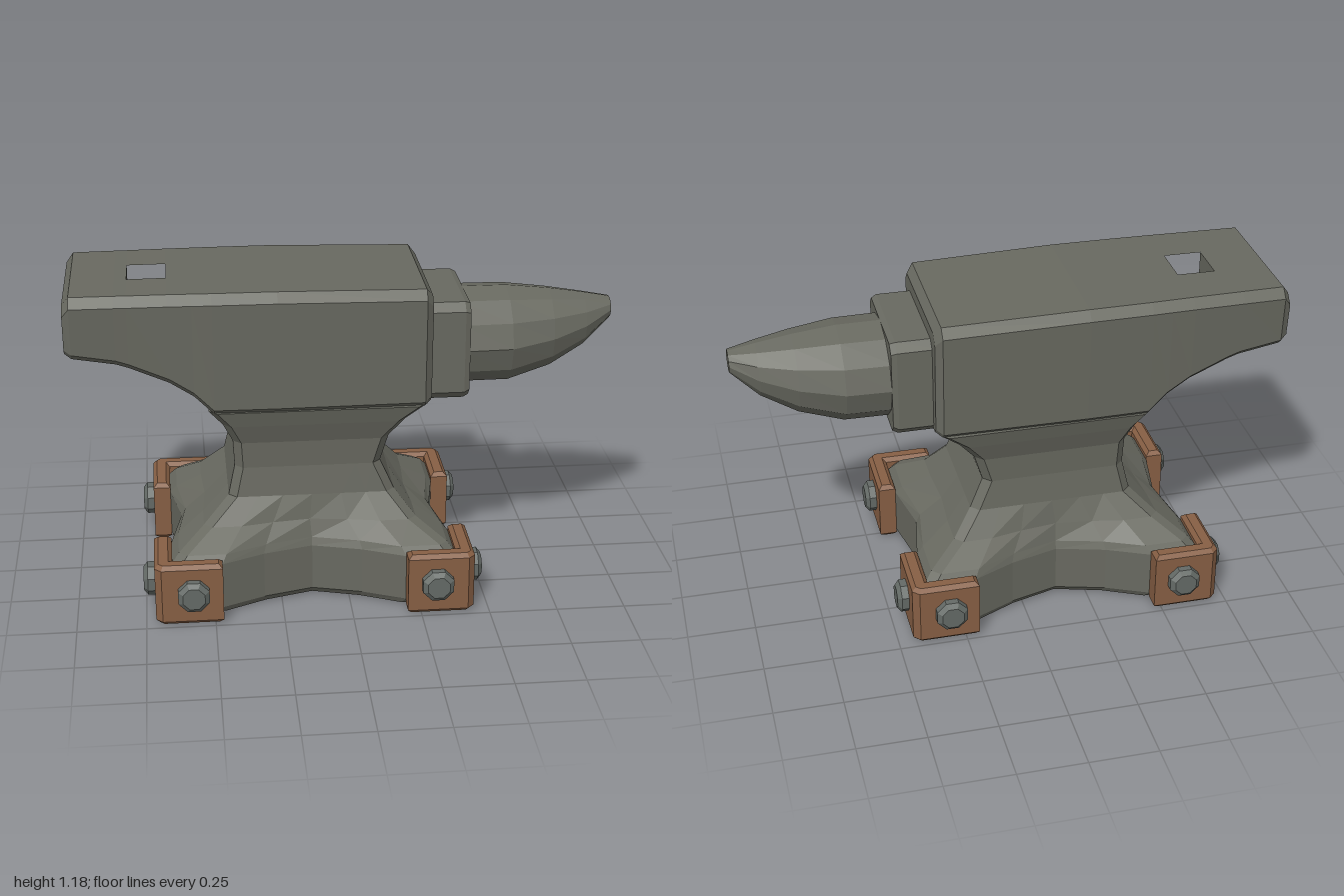
import * as THREE from 'three';

// Faceted skin over rings that run counter-clockwise about the loft axis, with fan caps.
function loft(rings, skip = () => false, extra = []) {
  const pos = [];
  const tri = (...pts) => pts.forEach((p) => pos.push(...p));
  const quad = (a, b, c, d) => tri(a, b, c, a, c, d);
  const n = rings[0].length;
  for (let i = 0; i + 1 < rings.length; i++) {
    for (let k = 0; k < n; k++) {
      if (skip(i, k)) continue;
      const m = (k + 1) % n;
      quad(rings[i][k], rings[i][m], rings[i + 1][m], rings[i + 1][k]);
    }
  }
  const cap = (ring, flip) => {
    const c = [0, 1, 2].map((j) => ring.reduce((s, p) => s + p[j], 0) / n);
    ring.forEach((p, k) => {
      const q = ring[(k + 1) % n];
      if (flip) tri(c, q, p);
      else tri(c, p, q);
    });
  };
  cap(rings[0], true);
  cap(rings[n ? rings.length - 1 : 0], false);
  extra.forEach((q) => quad(...q));
  const g = new THREE.BufferGeometry();
  g.setAttribute('position', new THREE.Float32BufferAttribute(pos, 3));
  g.computeVertexNormals();
  return g;
}

export function createModel() {
  const model = new THREE.Group();
  model.name = 'anvil';
  const make = (name, color) => {
    const m = new THREE.MeshStandardMaterial({ color, flatShading: true });
    m.name = name;
    return m;
  };
  const iron = make('dark iron', 0x686960);
  const copper = make('copper brown', 0x875f44);
  const steel = make('bolt steel', 0x646a66);
  const add = (name, geometry, material, parent = model) => {
    const mesh = new THREE.Mesh(geometry, material);
    mesh.name = name;
    parent.add(mesh);
    return mesh;
  };

  // Top block with overhanging heel: stations of x, bottom, top, half width
  const h = 0.08;
  const block = [
    [-1, 0.97, 1.15, 0.272], [-0.975, 0.955, 1.183, 0.287], [-0.82, 0.93, 1.184, 0.29],
    [-0.775, 0.915, 1.184, 0.291], [-0.635, 0.855, 1.185, 0.294], [-0.55, 0.8, 1.185, 0.296],
    [-0.48, 0.73, 1.185, 0.298], [-0.25, 0.73, 1.185, 0.3], [0.28, 0.73, 1.175, 0.293],
    [0.305, 0.745, 1.145, 0.27],
  ].map(([x, bot, top, w]) => {
    const lw = w - 0.012;
    return [
      [top, -w + 0.03], [top, -h], [top, h], [top, w - 0.03], [top - 0.035, w], [bot + 0.02, lw],
      [bot, lw - 0.02], [bot, h], [bot, -h], [bot, -lw + 0.02], [bot + 0.02, -lw], [top - 0.035, -w],
    ].map(([y, z]) => [x, y, z]);
  });
  // Square hole through the heel
  const [a, b] = [block[3], block[4]];
  const holeWalls = [
    [a[1], a[8], b[8], b[1]].reverse(),
    [a[2], b[2], b[7], a[7]].reverse(),
    [a[1], a[2], a[7], a[8]],
    [b[1], b[8], b[7], b[2]],
  ];
  add('topBlock', loft(block, (i, k) => i === 3 && (k === 1 || k === 7), holeWalls), iron);

  // Waist flaring into a four-footed base: y, left x, right x, corner z, side middle z, end pinch
  const base = [
    [0.005, -0.63, 0.36, 0.4, 0.28, 0.04], [0.03, -0.65, 0.38, 0.42, 0.3, 0.04],
    [0.205, -0.65, 0.38, 0.42, 0.3, 0.04], [0.235, -0.625, 0.355, 0.4, 0.29, 0.03],
    [0.3, -0.53, 0.25, 0.31, 0.27, 0.01], [0.39, -0.435, 0.175, 0.25, 0.25, 0],
    [0.5, -0.41, 0.125, 0.235, 0.235, 0], [0.6, -0.415, 0.155, 0.24, 0.24, 0],
    [0.675, -0.45, 0.215, 0.265, 0.265, 0], [0.735, -0.5, 0.29, 0.282, 0.282, 0],
  ].map(([y, x0, x1, w, m, q]) => {
    const cx = (x0 + x1) / 2, l = (x1 - x0) / 2, c = 0.03;
    const quarter = [
      [0, m], [0.35 * l, m + (w - m) * 0.42], [0.65 * l, w], [l - c, w],
      [l, w - c], [l, 0.52 * w], [l - q, 0],
    ];
    const half = [...quarter, ...quarter.slice(0, -1).reverse().map(([x, z]) => [x, -z])];
    const ring = [...half, ...half.slice(1, -1).reverse().map(([x, z]) => [-x, z])];
    return ring.map(([x, z]) => [cx + x, y, z]);
  });
  add('waistAndBase', loft(base), iron);

  // Chamfered collar behind the horn
  const collar = [[0.27, 0], [0.43, 0], [0.45, 0.008]].map(([x, inset]) => {
    const w = 0.22 - inset, t = 1.098 - inset, d = 0.73 + inset, c = 0.03;
    return [
      [t, -w + c], [t, w - c], [t - c, w], [d + c, w],
      [d, w - c], [d, -w + c], [d + c, -w], [t - c, -w],
    ].map(([y, z]) => [x, y, z]);
  });
  add('hornCollar', loft(collar), iron);

  // Tapered horn rising to a blunt tip: x, bottom, top, half width
  const horn = [
    [0.43, 0.735, 1.092, 0.212], [0.61, 0.735, 1.092, 0.205], [0.77, 0.783, 1.075, 0.16],
    [0.9, 0.858, 1.055, 0.105], [1, 0.957, 1.036, 0.05],
  ].map(([x, bot, top, w]) => Array.from({ length: 12 }, (_, k) => {
    const t = (k / 12) * Math.PI * 2;
    return [x, (top + bot) / 2 + Math.cos(t) * (top - bot) / 2, Math.sin(t) * w];
  }));
  add('horn', loft(horn), iron);

  // Corner brackets with two bolts each
  const bolt = new THREE.LatheGeometry(
    [[0.061, -0.01], [0.061, 0.026], [0.043, 0.041], [0, 0.041]].map((p) => new THREE.Vector2(...p)), 8);
  bolt.rotateY(Math.PI / 8);
  const e = 0.015; // bevel
  for (const sx of [-1, 1]) {
    for (const sz of [-1, 1]) {
      const corner = new THREE.Group();
      corner.name = (sz > 0 ? 'front' : 'back') + (sx > 0 ? 'Left' : 'Right') + 'Corner';
      corner.position.x = -0.135;
      model.add(corner);
      const outline = [
        [0.335 + e, 0.485 - e], [0.565 - e, 0.485 - e], [0.58 - e, 0.47 - e], [0.58 - e, 0.22 + e],
        [0.515 + e, 0.22 + e], [0.515 + e, 0.42 + e], [0.335 + e, 0.42 + e],
      ].map(([x, z]) => new THREE.Vector2(sx * x, -sz * z));
      const bracket = new THREE.ExtrudeGeometry(new THREE.Shape(outline), {
        depth: 0.235 - 2 * e, bevelThickness: e, bevelSize: e, bevelSegments: 1,
      });
      bracket.rotateX(-Math.PI / 2);
      add('bracket', bracket, copper, corner).position.y = e;

      const sideBolt = add('sideBolt', bolt, steel, corner);
      sideBolt.position.set(sx * 0.442, 0.123, sz * 0.485);
      sideBolt.rotation.x = sz * Math.PI / 2;
      const endBolt = add('endBolt', bolt, steel, corner);
      endBolt.position.set(sx * 0.58, 0.123, sz * 0.343);
      endBolt.rotation.z = -sx * Math.PI / 2;
    }
  }
  return model;
}
